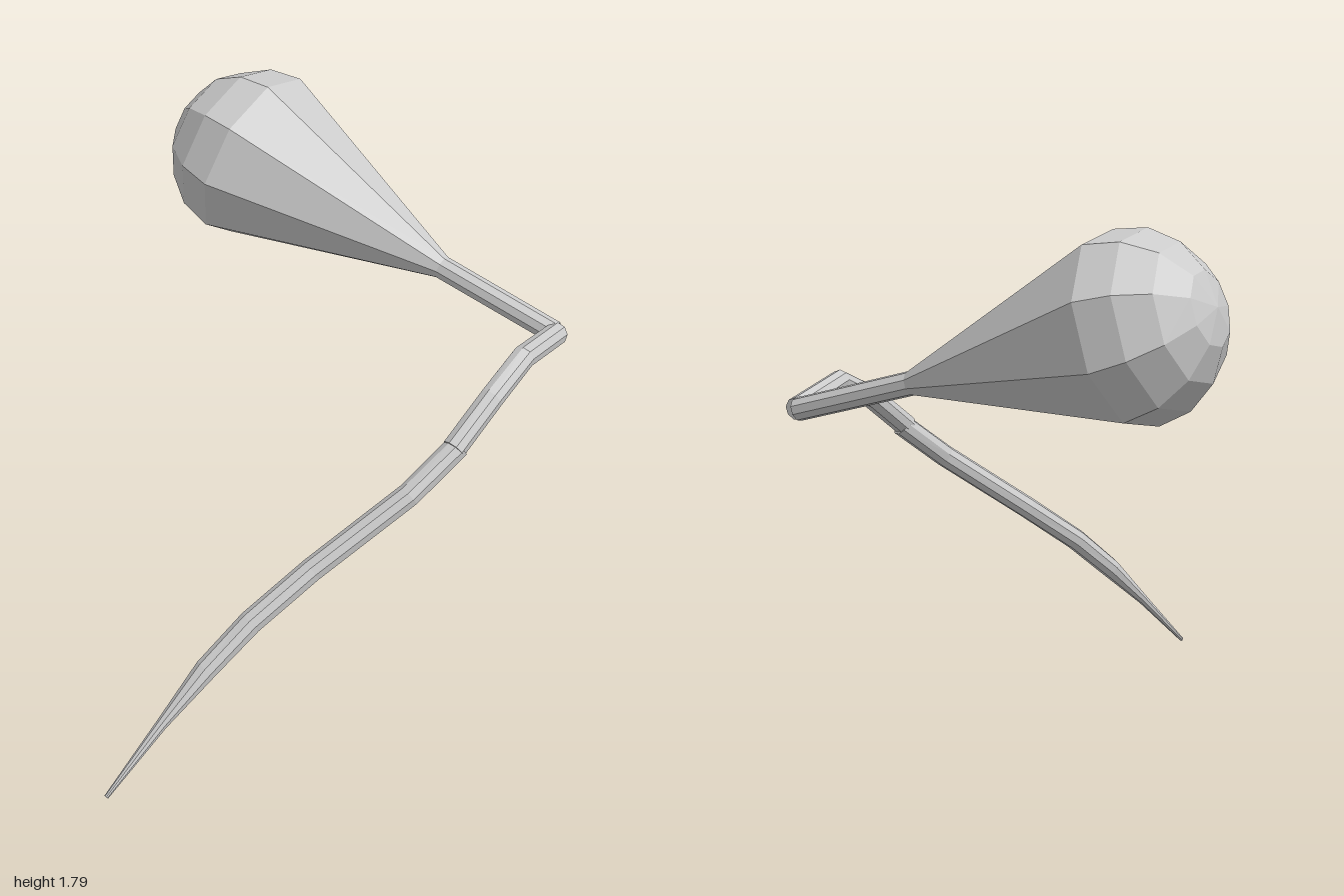
import * as THREE from 'three';

const SIDES = 9;
const V = (x, y, z) => new THREE.Vector3(x, y, z);

// Faceted tube through stations [x, y, z, radius], closed at both ends
function taperedTube(name, stations, ref = V(0, 1, 0)) {
  const centres = stations.map(([x, y, z]) => V(x, y, z));
  const last = centres.length - 1;
  const positions = [], index = [];
  const direction = (a, b) => centres[b].clone().sub(centres[a]).normalize();

  centres.forEach((c, i) => {
    const t = direction(Math.max(i - 1, 0), Math.max(i, 1));
    t.add(direction(Math.min(i, last - 1), Math.min(i + 1, last))).normalize();
    const n = ref.clone().addScaledVector(t, -ref.dot(t)).normalize();
    const b = t.clone().cross(n);
    for (let j = 0; j < SIDES; j++) {
      const a = (j / SIDES) * Math.PI * 2, r = stations[i][3];
      const p = c.clone().addScaledVector(n, r * Math.cos(a)).addScaledVector(b, r * Math.sin(a));
      positions.push(p.x, p.y, p.z);
    }
  });
  const start = positions.length / 3, end = start + 1;
  positions.push(...centres[0].toArray(), ...centres[last].toArray());

  for (let j = 0; j < SIDES; j++) {
    const k = (j + 1) % SIDES;
    for (let i = 0; i < last; i++) {
      const lo = i * SIDES, hi = lo + SIDES;
      index.push(lo + j, lo + k, hi + j, lo + k, hi + k, hi + j);
    }
    index.push(start, k, j, end, last * SIDES + j, last * SIDES + k);
  }
  const indexed = new THREE.BufferGeometry();
  indexed.setAttribute('position', new THREE.Float32BufferAttribute(positions, 3));
  indexed.setIndex(index);
  const geometry = indexed.toNonIndexed();
  geometry.computeVertexNormals();
  const mesh = new THREE.Mesh(geometry, new THREE.MeshStandardMaterial({ color: 0xcccccc, flatShading: true }));
  mesh.name = name;
  return mesh;
}

export function createModel() {
  const group = new THREE.Group();
  group.name = 'bulbWithTail';

  // Long tail narrowing to a point
  group.add(taperedTube('tail', [
    [-0.995, 0.008, 0.69, 0.008],
    [-0.77, 0.21, 0.69, 0.02],
    [-0.59, 0.365, 0.695, 0.039],
    [-0.42, 0.5, 0.715, 0.042],
    [-0.2, 0.65, 0.76, 0.042],
    [0.13, 0.875, 0.855, 0.042],
    [0.32, 1.01, 0.875, 0.042],
  ]));

  // Curved neck between the tail and the stem
  group.add(taperedTube('neck', [
    [0.3, 1.005, 0.875, 0.042],
    [0.48, 1.13, 0.85, 0.042],
    [0.66, 1.205, 0.8, 0.042],
    [0.955, 1.14, 0.655, 0.042],
  ]));

  // Stem flaring into a bulb with a domed end
  const centre = V(0.56, 1.47, -0.6), axis = V(-0.29, 0.25, -0.925).normalize();
  const radius = 0.33, steps = 4;
  const stations = [
    [0.955, 1.14, 0.645, 0.042],
    [0.81, 1.255, 0.195, 0.043],
  ];
  for (let i = 0; i <= steps; i++) {
    const a = (i / steps) * Math.PI / 2;
    const p = centre.clone().addScaledVector(axis, radius * Math.sin(a));
    stations.push([...p.toArray(), Math.max(radius * Math.cos(a), 0.001)]);
  }
  group.add(taperedTube('stemAndBulb', stations, V(-0.16, 1, 0)));

  return group;
}
